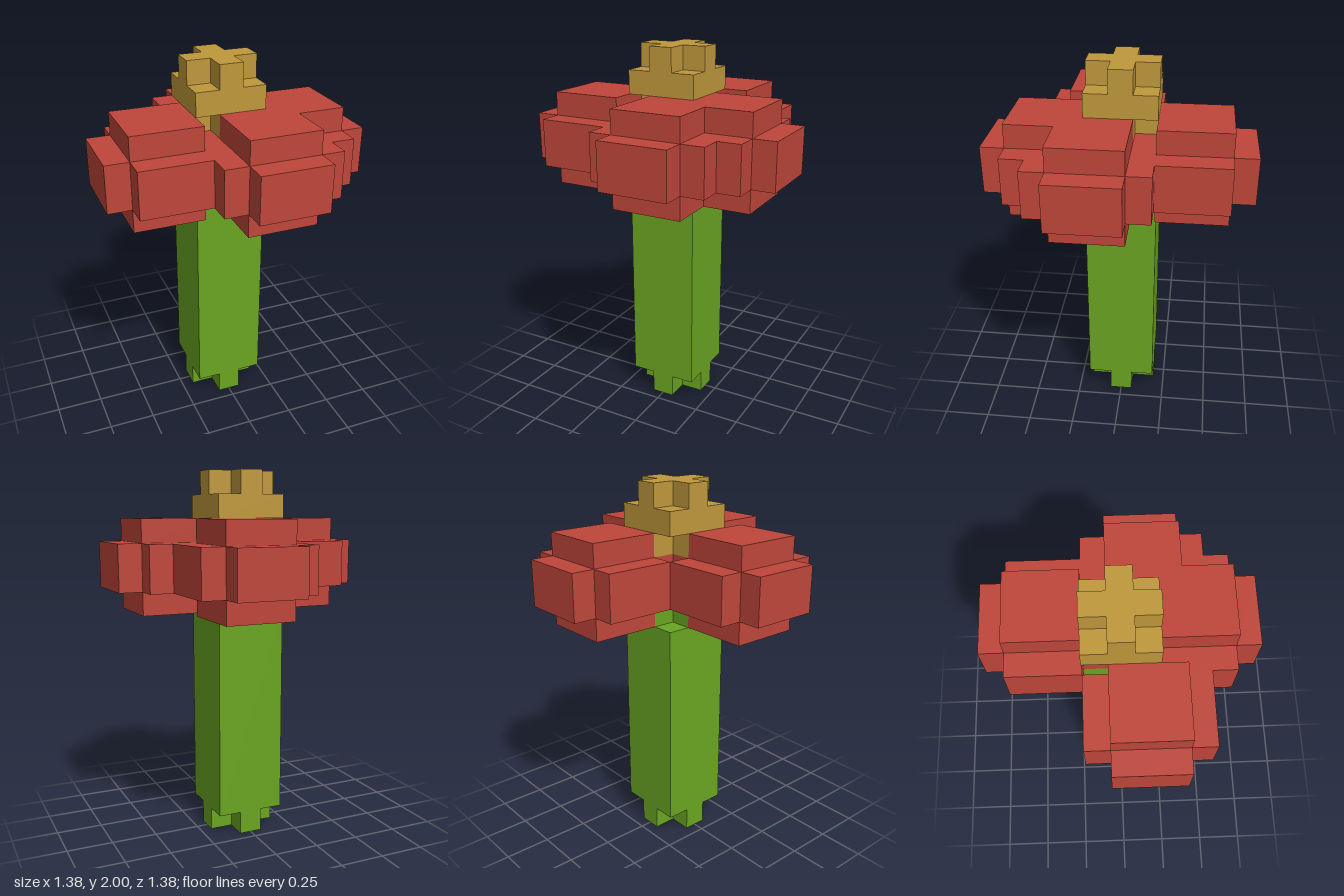
import * as THREE from 'three';

const U = 0.125; // size of one block

const paint = (name, color) => {
  const m = new THREE.MeshStandardMaterial({ color });
  m.name = name;
  return m;
};

// Square prism with one block cut from each corner, rising from y0 to y1
function notchedPrism(blocks, y0, y1) {
  const a = (blocks * U) / 2, b = a - U;
  const outline = [[b, -a], [b, -b], [a, -b], [a, b], [b, b], [b, a],
    [-b, a], [-b, b], [-a, b], [-a, -b], [-b, -b], [-b, -a]];
  const shape = new THREE.Shape(outline.map(([x, y]) => new THREE.Vector2(x, y)));
  const geo = new THREE.ExtrudeGeometry(shape, { depth: y1 - y0, bevelEnabled: false });
  return geo.rotateX(-Math.PI / 2).translate(0, y0, 0);
}

function squarePrism(blocks, y0, y1) {
  return new THREE.BoxGeometry(blocks * U, y1 - y0, blocks * U).translate(0, (y0 + y1) / 2, 0);
}

function part(name, material, geometries) {
  const group = new THREE.Group();
  group.name = name;
  geometries.forEach((geo, i) => {
    const mesh = new THREE.Mesh(geo, material);
    mesh.name = `${name}Section${i + 1}`;
    group.add(mesh);
  });
  return group;
}

export function createModel() {
  const model = new THREE.Group();
  model.name = 'flower';
  const green = paint('stem green', 0x6aa522);
  const red = paint('petal red', 0xbf463a);
  const gold = paint('centre gold', 0xc0983c);

  // Stem with notched ends
  model.add(part('stem', green, [
    notchedPrism(3, 0, 0.125),
    squarePrism(3, 0.125, 1.25),
    notchedPrism(3, 1.25, 1.375),
  ]));

  // Blocky flower centre
  model.add(part('flowerCentre', gold, [
    notchedPrism(3, 1.625, 1.75),
    squarePrism(3, 1.75, 1.875),
    notchedPrism(3, 1.875, 2),
  ]));

  // Four rounded petals, each set one block off the stem axis
  const petals = { frontPetal: [1, 3], backPetal: [1, -3], leftPetal: [3, 1], rightPetal: [-3, 1] };
  for (const [name, [x, z]] of Object.entries(petals)) {
    const petal = part(name, red, [
      squarePrism(3, 1.25, 1.375),
      notchedPrism(5, 1.375, 1.625),
      squarePrism(3, 1.625, 1.75),
    ]);
    petal.position.set(x * U, 0, z * U);
    model.add(petal);
  }
  return model;
}
